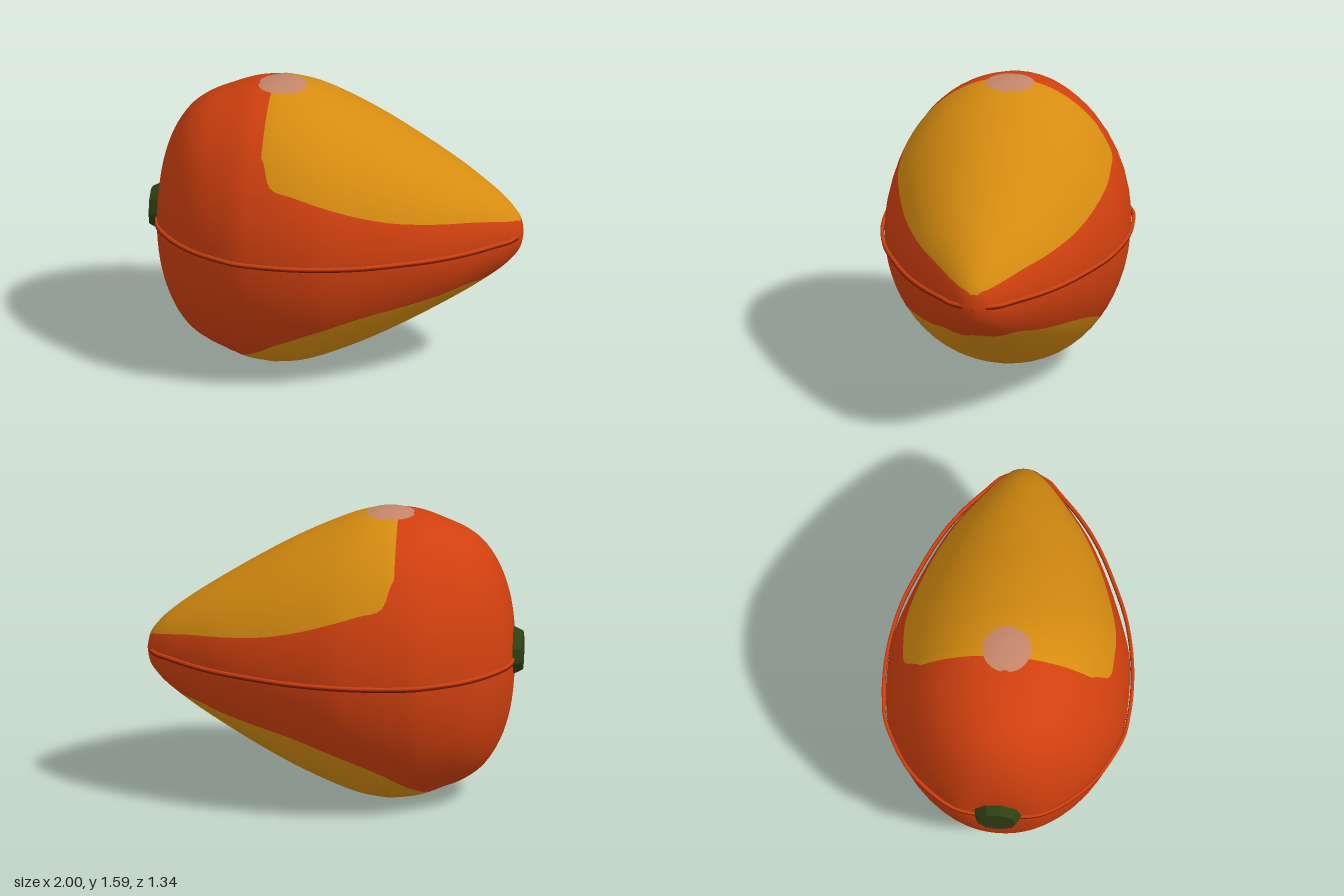
import * as THREE from 'three';

const MID = 0.8; // height of the long axis

// Body sections: x, half height, half width, sine of upper and lower patch edge angles
const ROWS = [
  [-0.95, 0, 0, 0.7, 0.9],
  [-0.95, 0.14, 0.13, 0.7, 0.9],
  [-0.93, 0.31, 0.22, 0.7, 0.9],
  [-0.88, 0.47, 0.31, 0.7, 0.9],
  [-0.8, 0.6, 0.41, 0.7, 0.9],
  [-0.7, 0.68, 0.5, 0.7, 0.94],
  [-0.57, 0.735, 0.575, 0.7, 0.99],
  [-0.45, 0.775, 0.625, 0.72, 0.87],
  [-0.34, 0.789, 0.64, 0.7, 0.75],
  [-0.28, 0.79, 0.645, 0.53, 0.69],
  [-0.15, 0.768, 0.645, 0.49, 0.62],
  [0, 0.712, 0.63, 0.46, 0.58],
  [0.2, 0.62, 0.565, 0.42, 0.556],
  [0.4, 0.51, 0.485, 0.41, 0.59],
  [0.6, 0.39, 0.385, 0.45, 0.67],
  [0.75, 0.295, 0.28, 0.51, 0.76],
  [0.88, 0.2, 0.18, 0.6, 0.99],
  [0.95, 0.13, 0.11, 0.74, 0.95],
  [0.985, 0.075, 0.065, 0.95, 0.95],
  [1, 0, 0, 0.95, 0.95],
];
const STEPS = 4; // rings per section
const TOP = [8, 18]; // first and last section of the upper patch
const BOTTOM = [6, 16]; // first and last section of the lower patch

const material = (name, color) => {
  const m = new THREE.MeshStandardMaterial({ color });
  m.name = name;
  return m;
};

function bodyGeometry() {
  const spline = (pick) => new THREE.CatmullRomCurve3(ROWS.map(pick), false, 'catmullrom', 0.5);
  const shape = spline((r) => new THREE.Vector3(r[0], r[1], r[2]));
  const edges = spline((r) => new THREE.Vector3(r[0], Math.asin(r[3]), Math.asin(r[4])));
  const rings = (ROWS.length - 1) * STEPS;
  const counts = [16, 12, 16, 12]; // divisions of upper, back, lower and front spans
  const around = counts.reduce((a, b) => a + b);
  const positions = [];

  for (let i = 0; i <= rings; i++) {
    const s = shape.getPoint(i / rings);
    const e = edges.getPoint(i / rings);
    const a = Math.min(e.y, 1.5), b = Math.min(e.z, 1.5);
    const stops = [a, Math.PI - a, Math.PI + b, 2 * Math.PI - b, 2 * Math.PI + a];
    counts.forEach((n, k) => {
      for (let j = 0; j < n; j++) {
        const t = THREE.MathUtils.lerp(stops[k], stops[k + 1], j / n);
        positions.push(s.x, MID + s.y * Math.sin(t), s.z * Math.cos(t));
      }
    });
  }

  // Sort the cells into skin and patches
  const skin = [], patch = [];
  const within = (i, range) => i >= range[0] * STEPS && i < range[1] * STEPS;
  for (let i = 0; i < rings; i++) {
    for (let j = 0; j < around; j++) {
      const upper = j < 16 && within(i, TOP);
      const lower = j >= 28 && j < 44 && within(i, BOTTOM);
      const k = (j + 1) % around;
      const a = i * around + j, b = a + around;
      const c = i * around + k, d = c + around;
      (upper || lower ? patch : skin).push(a, b, c, b, d, c);
    }
  }
  const geo = new THREE.BufferGeometry();
  geo.setAttribute('position', new THREE.Float32BufferAttribute(positions, 3));
  geo.setIndex([...skin, ...patch]);
  geo.addGroup(0, skin.length, 0);
  geo.addGroup(skin.length, patch.length, 1);
  geo.computeVertexNormals();
  return geo;
}

// Closed cord running round the widest line of the body
function seamGeometry(y, radius, extra) {
  const half = ROWS.slice(1, -2).map((r) => {
    const gap = r[0] > 0.1 && r[0] < 0.8 ? 0.032 : 0.012;
    return new THREE.Vector3(r[0], y, r[2] + gap + extra);
  });
  const mirrored = half.map((p) => new THREE.Vector3(p.x, y, -p.z)).reverse();
  const path = new THREE.CatmullRomCurve3(
    [...half, new THREE.Vector3(0.988, y, 0), ...mirrored], true, 'centripetal');
  return new THREE.TubeGeometry(path, 160, radius, 6, true);
}

export function createModel() {
  const red = material('red skin', 0xd0400f);
  const darkRed = material('dark red seam', 0x7a1a08);
  const amber = material('amber patch', 0xd68c10);
  const tan = material('tan spot', 0xc5866a);
  const green = material('dark green stem', 0x2f3f14);

  const model = new THREE.Group();
  model.name = 'fruit';
  const add = (name, geo, mat) => {
    const mesh = new THREE.Mesh(geo, mat);
    mesh.name = name;
    model.add(mesh);
    return mesh;
  };

  add('body', bodyGeometry(), [red, amber]);
  add('seamUpper', seamGeometry(MID + 0.006, 0.01, 0.002), red);
  add('seamLower', seamGeometry(MID - 0.004, 0.01, 0), darkRed);

  // Shallow cap lying on the crown
  const spot = add('topSpot',
    new THREE.SphereGeometry(0.5, 32, 5, 0, Math.PI * 2, 0, Math.asin(0.13 / 0.5)), tan);
  spot.position.set(-0.295, 1.596 - 0.5, 0);

  // Faceted stub at the blunt end
  const stemGeo = new THREE.CylinderGeometry(0.105, 0.14, 0.07, 9).toNonIndexed();
  stemGeo.computeVertexNormals();
  const stem = add('stem', stemGeo, green);
  stem.rotation.z = Math.PI / 2;
  stem.position.set(-0.965, 0.82, 0);

  return model;
}
